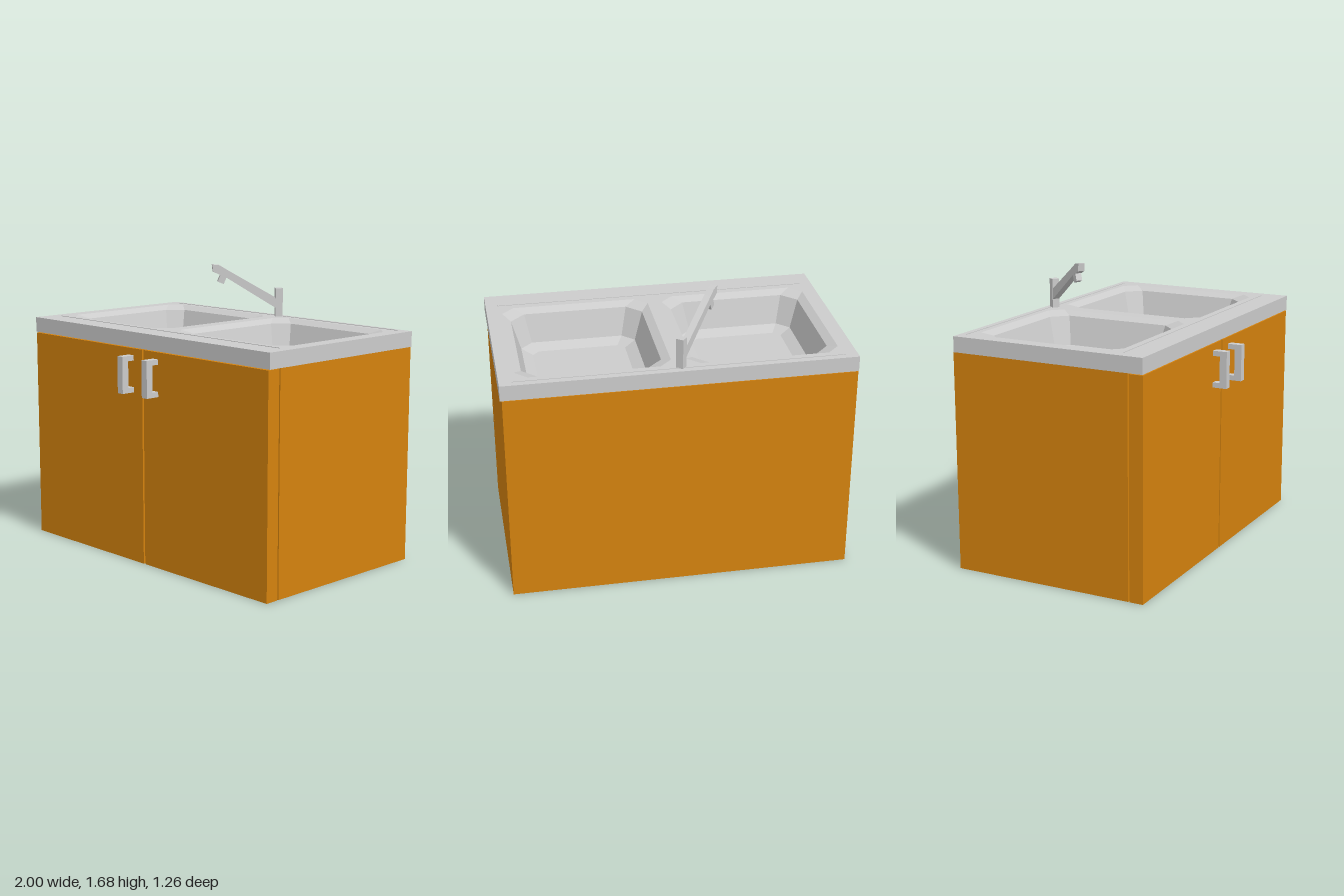
import * as THREE from 'three';

const steel = new THREE.MeshStandardMaterial({ color: 0xcccccc, flatShading: true });
const sheet = new THREE.MeshStandardMaterial({ color: 0xcccccc, flatShading: true, side: THREE.DoubleSide });
const wood = new THREE.MeshStandardMaterial({ color: 0xd4820e, flatShading: true });

// Box given by its two extreme corners
function box(name, [x0, y0, z0], [x1, y1, z1], material) {
  const mesh = new THREE.Mesh(new THREE.BoxGeometry(x1 - x0, y1 - y0, z1 - z0), material);
  mesh.position.set((x0 + x1) / 2, (y0 + y1) / 2, (z0 + z1) / 2);
  mesh.name = name;
  return mesh;
}

// Rectangle with cut corners, as [x, z] points
function octagon(cx, cz, w, d, c) {
  return [[w, d - c], [w - c, d], [c - w, d], [-w, d - c], [-w, c - d], [c - w, -d], [w - c, -d], [w, c - d]]
    .map(([x, z]) => new THREE.Vector2(cx + x, cz + z));
}

const basinX = [-0.48, 0.475], basinZ = -0.095;
// Basin levels from rim to floor: half width, half depth, corner cut, height
const levels = [
  [0.435, 0.45, 0.07, 1.36],
  [0.39, 0.405, 0.085, 1.335],
  [0.34, 0.355, 0.07, 1.17],
  [0.275, 0.29, 0.04, 1.14],
];

function basin(cx) {
  const position = [], index = [];
  levels.forEach(([w, d, c, y]) =>
    octagon(cx, basinZ, w, d, c).forEach((p) => position.push(p.x, y, p.y)));
  for (let l = 0; l < levels.length - 1; l++) {
    for (let i = 0; i < 8; i++) {
      const a = l * 8 + i, b = l * 8 + (i + 1) % 8;
      index.push(a, a + 8, b, b, a + 8, b + 8);
    }
  }
  // Floor fan
  const f = (levels.length - 1) * 8;
  for (let i = 1; i < 7; i++) index.push(f, f + i + 1, f + i);
  const indexed = new THREE.BufferGeometry();
  indexed.setAttribute('position', new THREE.Float32BufferAttribute(position, 3));
  indexed.setIndex(index);
  const geometry = indexed.toNonIndexed();
  geometry.computeVertexNormals();
  const mesh = new THREE.Mesh(geometry, sheet);
  mesh.name = 'basin';
  return mesh;
}

function countertop() {
  const shape = new THREE.Shape([[-1, -0.625], [1, -0.625], [1, 0.545], [-1, 0.545]]
    .map(([x, z]) => new THREE.Vector2(x, z)));
  const [w, d, c] = levels[0];
  basinX.forEach((cx) => shape.holes.push(new THREE.Path(octagon(cx, basinZ, w, d, c))));
  const geometry = new THREE.ExtrudeGeometry(shape, { depth: 0.09, bevelEnabled: false });
  geometry.rotateX(Math.PI / 2).translate(0, 1.36, 0);
  const mesh = new THREE.Mesh(geometry, steel);
  mesh.name = 'countertop';
  return mesh;
}

function faucet() {
  const group = new THREE.Group();
  group.name = 'faucet';
  group.add(box('faucetPost', [-0.022, 1.36, -0.022], [0.022, 1.535, 0.022], steel));
  // Sloping arm with a bent tip
  const profile = [[0, 1.40], [0.33, 1.605], [0.41, 1.64], [0.415, 1.685], [0.37, 1.68], [0.33, 1.655], [0, 1.465]];
  const shape = new THREE.Shape(profile.map(([u, y]) => new THREE.Vector2(u, y)));
  const geometry = new THREE.ExtrudeGeometry(shape, { depth: 0.04, bevelEnabled: false });
  const arm = new THREE.Mesh(geometry.translate(0, 0, -0.02), steel);
  arm.name = 'faucetArm';
  // Nozzle under the tip
  const nozzle = new THREE.Mesh(new THREE.BoxGeometry(0.04, 0.06, 0.036), steel);
  nozzle.name = 'faucetNozzle';
  nozzle.position.set(0.352, 1.6, 0);
  nozzle.rotation.z = 0.4;
  group.add(arm, nozzle);
  group.position.set(0, 0, -0.57);
  group.rotation.y = Math.atan2(-0.8, -0.6);
  return group;
}

function handle(cx) {
  const group = new THREE.Group();
  group.name = 'doorHandle';
  const x0 = cx - 0.022, x1 = cx + 0.022;
  group.add(box('handleGrip', [x0, 1.01, 0.587], [x1, 1.225, 0.63], steel));
  [1.01, 1.195].forEach((y) => group.add(box('handleLeg', [x0, y, 0.545], [x1, y + 0.03, 0.587], steel)));
  return group;
}

export function createModel() {
  const model = new THREE.Group();
  model.name = 'sinkCabinet';

  // Open-bottomed cabinet; the doors close its front
  model.add(
    box('rightSide', [-0.995, 0, -0.58], [-0.945, 1.27, 0.455], wood),
    box('leftSide', [0.94, 0, -0.58], [0.99, 1.27, 0.455], wood),
    box('backPanel', [-0.995, 0, -0.63], [0.99, 1.27, -0.58], wood),
    box('rightDoor', [-0.995, 0, 0.463], [-0.009, 1.265, 0.545], wood),
    box('leftDoor', [0.004, 0, 0.463], [0.99, 1.265, 0.545], wood),
    handle(-0.102), handle(0.107),
  );

  // Sink top
  model.add(countertop(), ...basinX.map(basin), faucet());

  // Fine raised lines near the front and back edges
  [-0.585, 0.4].forEach((z) =>
    model.add(box('edgeRidge', [-0.93, 1.358, z - 0.002], [0.93, 1.363, z + 0.002], steel)));
  return model;
}
